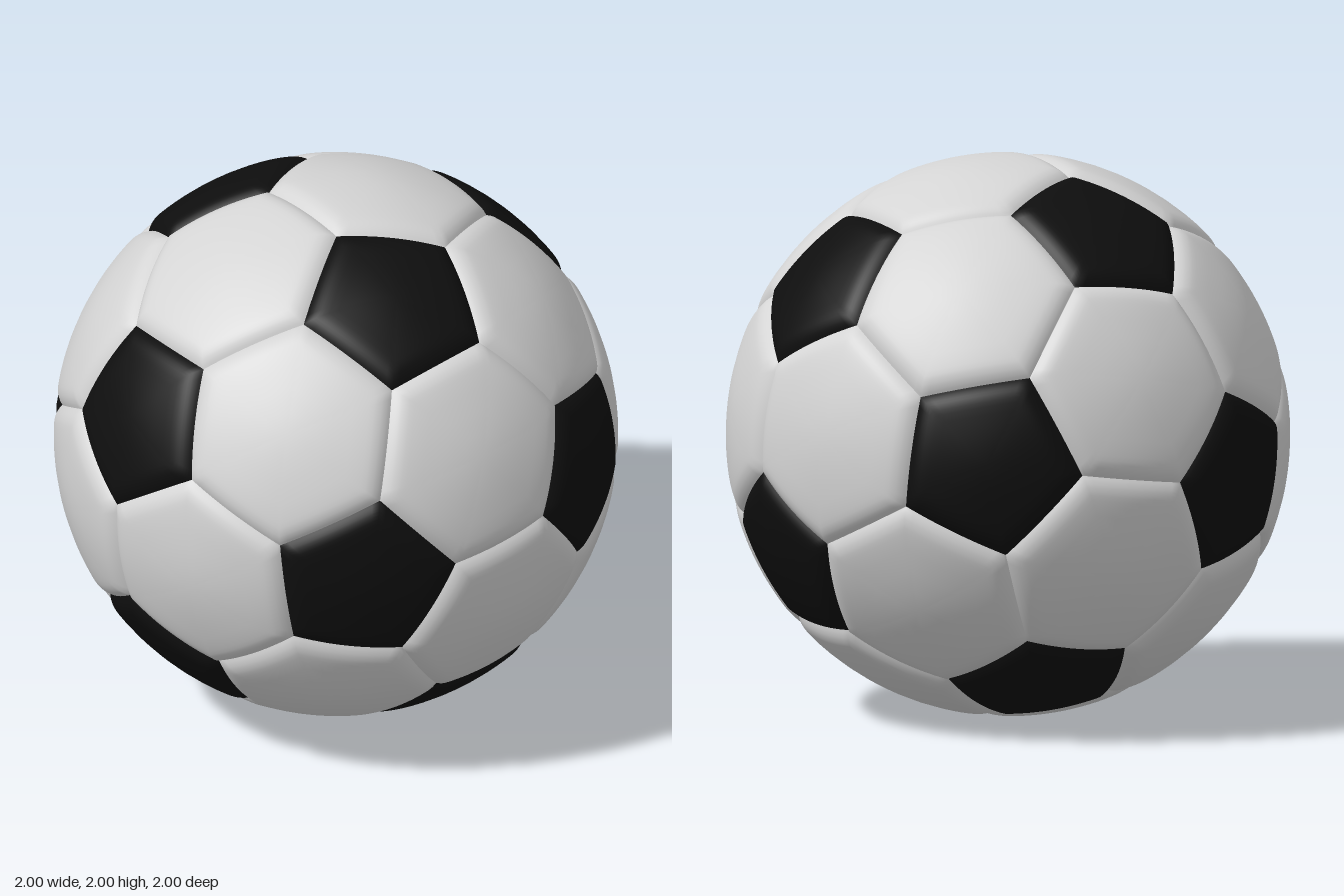
import * as THREE from 'three';

const RADIUS = 1;
const SEAM_DEPTH = 0.025; // how far the seams sink below the ball surface
const SEAM_WIDTH = 0.08; // width of the rounded border of each panel
const STEPS = 12; // points along each panel side

// Rings from panel centre (0) to seam (1), denser near the seam
const RINGS = [0.2, 0.4, 0.6, 0.7, 0.76, 0.81, 0.85, 0.89, 0.92, 0.95, 0.975, 1];

// The twelve icosahedron directions, turned to the ball's resting pose
function icosahedronPoints() {
  const u = new THREE.Vector3(-0.002, 0.207, 0.978).normalize();
  const v = new THREE.Vector3(-0.896, 0.434, -0.0925);
  v.addScaledVector(u, -v.dot(u)).normalize();
  const w = new THREE.Vector3().crossVectors(u, v);
  const phi = (1 + Math.sqrt(5)) / 2;
  const points = [];
  for (const [a, b] of [[u, v], [v, w], [w, u]]) {
    for (const i of [-1, 1]) {
      for (const j of [-1, 1]) {
        points.push(new THREE.Vector3().addScaledVector(a, i * phi).addScaledVector(b, j).normalize());
      }
    }
  }
  return points;
}

// Sort corners counter-clockwise as seen from outside
function sortAround(centre, corners) {
  const e1 = corners[0].clone().addScaledVector(centre, -corners[0].dot(centre)).normalize();
  const e2 = new THREE.Vector3().crossVectors(centre, e1);
  const angle = (p) => Math.atan2(p.dot(e2), p.dot(e1));
  return corners.sort((p, q) => angle(p) - angle(q));
}

// One curved panel with a rounded border falling into the seam
function panelGeometry(centre, corners) {
  const n = corners.length;
  const count = n * STEPS;
  const middle = corners.reduce((sum, c) => sum.add(c), new THREE.Vector3()).divideScalar(n);
  const positions = [centre.x * RADIUS, centre.y * RADIUS, centre.z * RADIUS];
  const index = [];
  RINGS.forEach((s, ring) => {
    for (let k = 0; k < count; k++) {
      const side = Math.floor(k / STEPS);
      const a = corners[side];
      const b = corners[(side + 1) % n];
      const edgePlane = new THREE.Vector3().crossVectors(a, b).normalize();
      const p = a.clone().lerp(b, (k % STEPS) / STEPS);
      p.lerp(middle, 1 - s).normalize();
      const distance = Math.asin(Math.max(0, p.dot(edgePlane)));
      const t = Math.min(distance / SEAM_WIDTH, 1);
      p.multiplyScalar(RADIUS - SEAM_DEPTH * Math.pow(1 - t, 2.5));
      positions.push(p.x, p.y, p.z);

      const next = (k + 1) % count;
      const outer = 1 + ring * count;
      const inner = outer - count;
      if (ring === 0) index.push(0, outer + k, outer + next);
      else index.push(inner + k, outer + k, outer + next, inner + k, outer + next, inner + next);
    }
  });
  const geometry = new THREE.BufferGeometry();
  geometry.setAttribute('position', new THREE.Float32BufferAttribute(positions, 3));
  geometry.setIndex(index);
  geometry.computeVertexNormals();
  return geometry;
}

export function createModel() {
  const white = new THREE.MeshStandardMaterial({ color: 0xd4d4d4 });
  white.name = 'white leather';
  const black = new THREE.MeshStandardMaterial({ color: 0x0e0e0e });
  black.name = 'black leather';

  const ball = new THREE.Group();
  ball.name = 'ball';
  const addPanel = (name, centre, corners, material) => {
    const mesh = new THREE.Mesh(panelGeometry(centre, sortAround(centre, corners)), material);
    mesh.name = name;
    ball.add(mesh);
  };

  const points = icosahedronPoints();
  const near = (p, q) => p !== q && p.dot(q) > 0.4;
  const third = (p, q) => p.clone().lerp(q, 1 / 3);

  // Black pentagons, one on each icosahedron corner
  for (const p of points) {
    addPanel('pentagonPanel', p, points.filter((q) => near(p, q)).map((q) => third(p, q)), black);
  }

  // White hexagons, one on each icosahedron face
  for (let i = 0; i < 12; i++) {
    for (let j = i + 1; j < 12; j++) {
      for (let k = j + 1; k < 12; k++) {
        const [p, q, r] = [points[i], points[j], points[k]];
        if (!near(p, q) || !near(q, r) || !near(p, r)) continue;
        const centre = p.clone().add(q).add(r).normalize();
        const corners = [third(p, q), third(q, p), third(q, r), third(r, q), third(r, p), third(p, r)];
        addPanel('hexagonPanel', centre, corners, white);
      }
    }
  }

  ball.position.y = RADIUS;
  const model = new THREE.Group();
  model.name = 'football';
  model.add(ball);
  return model;
}
